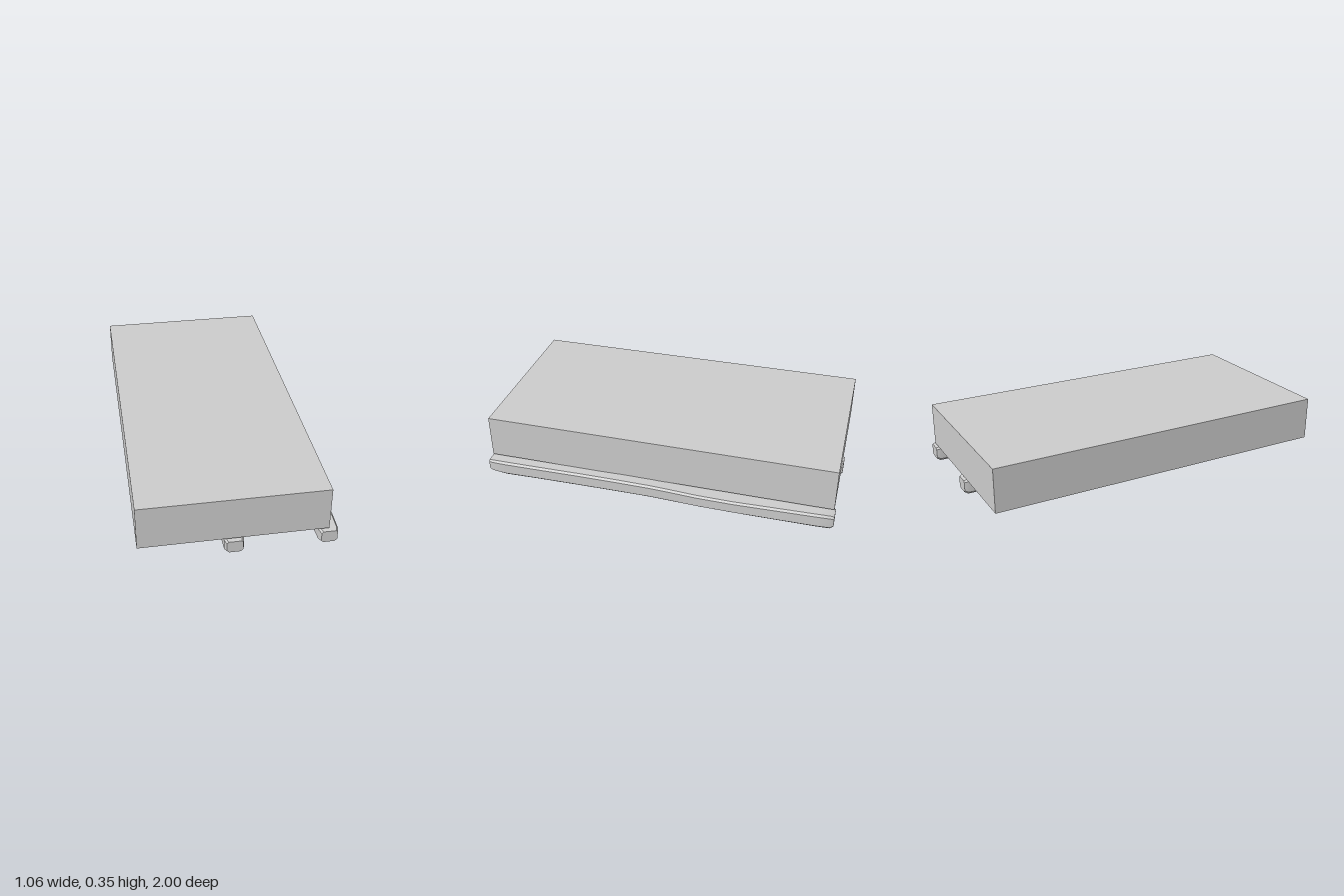
import * as THREE from 'three';
import { toCreasedNormals } from 'three/addons/utils/BufferGeometryUtils.js';

// Rail stations from front to back: z, left x, right x, bottom y, top y
const STATIONS = [
  [1.0, 0.42, 0.505, 0.02, 0.088],
  [0.975, 0.41, 0.513, 0.012, 0.093],
  [0.9, 0.41, 0.515, 0.004, 0.094],
  [0.7, 0.411, 0.517, 0.01, 0.097],
  [0.45, 0.414, 0.521, 0.016, 0.103],
  [0.2, 0.418, 0.526, 0.022, 0.107],
  [0.02, 0.421, 0.527, 0.023, 0.106],
  [-0.1, 0.421, 0.526, 0.018, 0.1],
  [-0.25, 0.42, 0.525, 0.011, 0.091],
  [-0.45, 0.419, 0.524, 0.008, 0.088],
  [-0.7, 0.417, 0.521, 0.006, 0.092],
  [-0.9, 0.414, 0.516, 0.003, 0.093],
  [-0.98, 0.414, 0.513, 0.004, 0.093],
  [-1.0, 0.422, 0.505, 0.016, 0.086],
];

// Bevelled cross-section, counter-clockwise, as fractions of width and height
const SECTION = [
  [0.14, 0], [0.84, 0], [1, 0.18], [1, 0.86],
  [0.9, 1], [0.1, 1], [0, 0.86], [0, 0.16],
];

function railGeometry() {
  const n = SECTION.length, last = STATIONS.length - 1;
  const pos = [], index = [];
  for (const [z, x0, x1, y0, y1] of STATIONS)
    for (const [u, v] of SECTION) pos.push(x0 + (x1 - x0) * u, y0 + (y1 - y0) * v, z);
  for (let i = 0; i < last; i++)
    for (let j = 0; j < n; j++) {
      const a = i * n + j, b = i * n + (j + 1) % n;
      index.push(a, a + n, b + n, a, b + n, b);
    }
  // End caps
  for (let j = 1; j < n - 1; j++) {
    index.push(0, j, j + 1);
    index.push(last * n, last * n + j + 1, last * n + j);
  }
  const g = new THREE.BufferGeometry();
  g.setAttribute('position', new THREE.Float32BufferAttribute(pos, 3));
  g.setIndex(index);
  return toCreasedNormals(g, 0.6);
}

export function createModel() {
  const model = new THREE.Group();
  const material = new THREE.MeshStandardMaterial({ color: 0xcccccc });

  // Flat rectangular slab
  const slab = new THREE.Mesh(new THREE.BoxGeometry(0.99, 0.246, 1.984), material);
  slab.name = 'slab';
  slab.position.set(-0.035, 0.228, -0.001);
  model.add(slab);

  // Two matching wavy rails under the slab
  const geometry = railGeometry();
  [['leftRail', 0], ['middleRail', -0.495]].forEach(([name, x]) => {
    const rail = new THREE.Mesh(geometry, material);
    rail.name = name;
    rail.position.x = x;
    model.add(rail);
  });
  return model;
}
